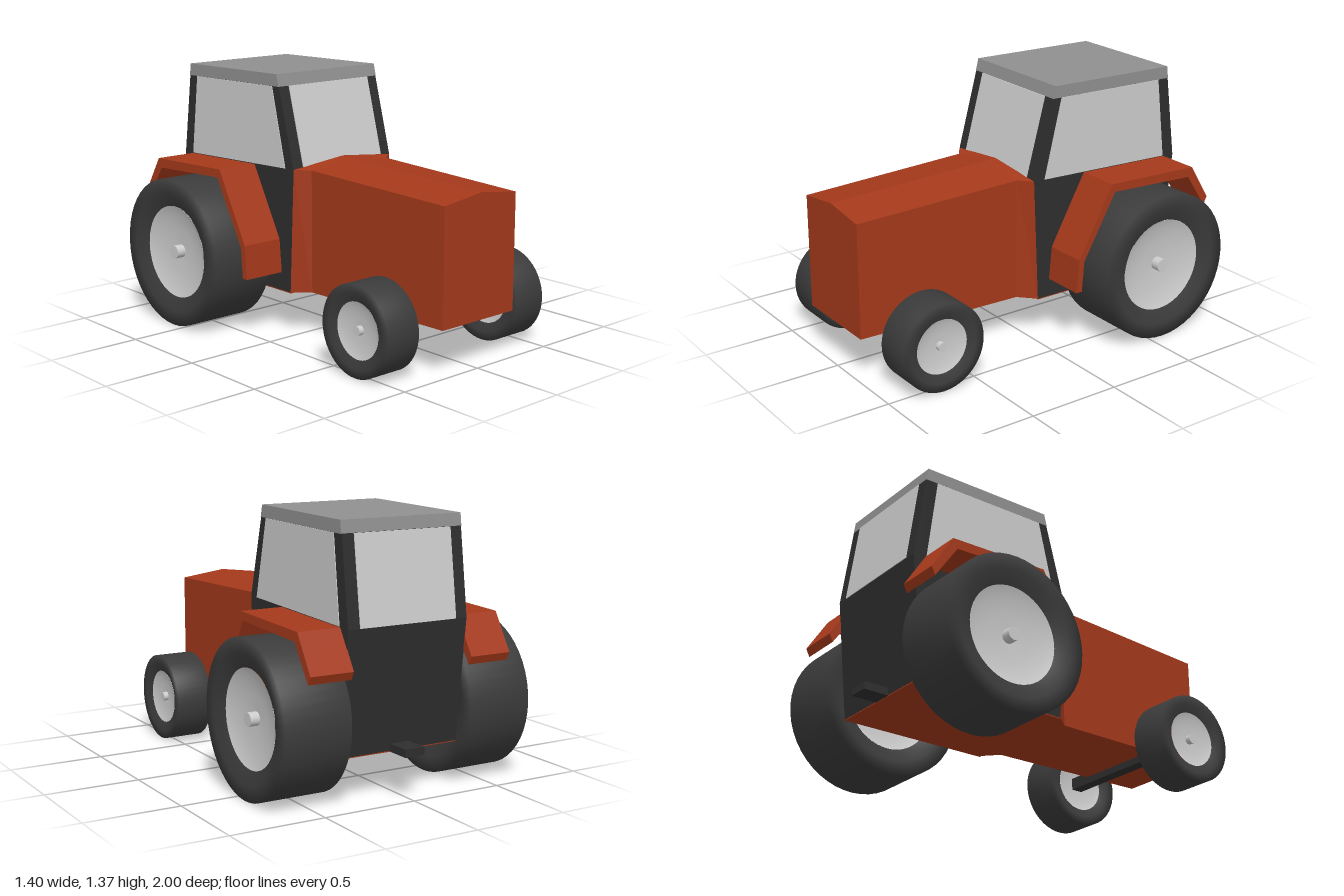
import * as THREE from 'three';

const RED = 0xa5391b, DARK = 0x2e2e2e, TYRE = 0x3b3b3b, ROOF = 0x909090, GREY = 0xcccccc;

const material = (color, flatShading = true) =>
  new THREE.MeshStandardMaterial({ color, flatShading });

function add(parent, name, geometry, color, smooth = false) {
  const mesh = new THREE.Mesh(geometry, material(color, !smooth));
  mesh.name = name;
  parent.add(mesh);
  return mesh;
}

// Side profile of [z, y] points, extruded across x from x0 to x1
function prism(points, x0, x1) {
  const shape = new THREE.Shape(points.map(([z, y]) => new THREE.Vector2(z, y)));
  const g = new THREE.ExtrudeGeometry(shape, { depth: x1 - x0, bevelEnabled: false });
  return g.rotateY(-Math.PI / 2).translate(x1, 0, 0);
}

// Skin of cross-sections (same point count, counter-clockwise seen from +z), listed front to back
function loft(sections) {
  const n = sections[0].length, index = [];
  const last = (sections.length - 1) * n;
  for (let s = 0; s < sections.length - 1; s++) {
    for (let i = 0; i < n; i++) {
      const a = s * n + i, b = s * n + (i + 1) % n;
      index.push(a, a + n, b, b, a + n, b + n);
    }
  }
  for (let i = 1; i < n - 1; i++) {
    index.push(0, i, i + 1, last, last + i + 1, last + i);
  }
  const g = new THREE.BufferGeometry();
  g.setAttribute('position', new THREE.Float32BufferAttribute(sections.flat(2), 3));
  g.setIndex(index);
  const flat = g.toNonIndexed();
  flat.computeVertexNormals();
  return flat;
}

// Pentagonal bonnet section with a raised centre ridge
const bonnetSection = (zBottom, zTop, w, bottom, corner, ridge) => [
  [-w, bottom, zBottom], [w, bottom, zBottom],
  [w, corner, zTop], [0, ridge, zTop], [-w, corner, zTop],
];

// Revolve [radius, along] points about the x axis
function revolve(points) {
  const g = new THREE.LatheGeometry(points.map(([r, a]) => new THREE.Vector2(r, a)), 48);
  return g.rotateZ(-Math.PI / 2);
}

function makeWheel(name, R, w, rimR, hubR) {
  const wheel = new THREE.Group();
  wheel.name = name;
  const mid = rimR + (R - rimR) * 0.5;
  add(wheel, 'tyre', revolve([
    [rimR, -w * 0.82], [mid, -w], [R, -w], [R, w], [mid, w], [rimR, w * 0.82],
  ]), TYRE, true);
  // Dished rim on both faces
  const dish = [[rimR, w * 0.83], [rimR * 0.8, w * 0.72], [rimR * 0.45, w * 0.64], [0, w * 0.61]];
  add(wheel, 'outerRim', revolve(dish), GREY, true);
  add(wheel, 'innerRim', revolve(dish.map(([r, a]) => [r, -a]).reverse()), GREY, true);
  const hub = new THREE.CylinderGeometry(hubR, hubR, w * 1.8, 20).rotateZ(Math.PI / 2);
  add(wheel, 'hub', hub, GREY, true).material.flatShading = false;
  return wheel;
}

export function createModel() {
  const tractor = new THREE.Group();
  tractor.name = 'tractor';

  // Bonnet, flaring out to meet the cab
  add(tractor, 'bonnet', loft([
    bonnetSection(1, 1, 0.25, 0.245, 0.853, 0.885),
    bonnetSection(0.065, 0.065, 0.265, 0.235, 0.887, 0.922),
    bonnetSection(-0.022, 0.01, 0.34, 0.23, 0.892, 0.926),
  ]), RED);

  // Cab body, roof and belly
  add(tractor, 'cabBody', prism([
    [-0.022, 0.23], [-0.865, 0.225], [-0.935, 0.858], [-0.875, 1.3], [-0.104, 1.31], [0.008, 0.896],
  ], -0.34, 0.34), DARK);
  add(tractor, 'roof', prism([
    [-0.104, 1.31], [-0.875, 1.298], [-0.866, 1.363], [-0.12, 1.374],
  ], -0.343, 0.343), ROOF);
  add(tractor, 'bellyPlate', prism([
    [-0.022, 0.23], [-0.022, 0.225], [-0.864, 0.22], [-0.864, 0.226],
  ], -0.339, 0.339), RED);

  // Windows
  add(tractor, 'windscreen', prism([
    [0.0, 0.896], [0.013, 0.896], [-0.099, 1.31], [-0.11, 1.31],
  ], -0.275, 0.275), GREY);
  add(tractor, 'rearWindow', prism([
    [-0.93, 0.858], [-0.87, 1.299], [-0.879, 1.299], [-0.939, 0.858],
  ], -0.275, 0.275), GREY);
  const sideGlass = [[-0.056, 0.89], [-0.158, 1.308], [-0.807, 1.298], [-0.86, 0.864]];

  // Drawbar and front axle
  add(tractor, 'drawbar', new THREE.BoxGeometry(0.11, 0.04, 0.16).translate(0, 0.242, -0.92), DARK);
  add(tractor, 'frontAxle', new THREE.BoxGeometry(0.84, 0.065, 0.065).translate(0, 0.237, 0.7), DARK);

  // Mudguard: bent sheet over the rear wheel
  const mudguard = [
    [-0.094, 0.327], [-0.11, 0.505], [-0.314, 0.877], [-0.866, 0.86], [-0.984, 0.67],
    [-0.963, 0.628], [-0.84, 0.81], [-0.335, 0.832], [-0.142, 0.49], [-0.13, 0.327],
  ];

  // Paired parts
  for (const [side, s] of [['left', 1], ['right', -1]]) {
    const span = (a, b) => (s > 0 ? [a, b] : [-b, -a]);
    add(tractor, side + 'Window', prism(sideGlass, ...span(0.335, 0.344)), GREY);
    add(tractor, side + 'Mudguard', prism(mudguard, ...span(0.338, 0.572)), RED);

    const rear = makeWheel(side + 'RearWheel', 0.4, 0.178, 0.25, 0.035);
    rear.position.set(s * 0.523, 0.4, -0.583);
    const front = makeWheel(side + 'FrontWheel', 0.235, 0.099, 0.145, 0.024);
    front.position.set(s * 0.449, 0.235, 0.706);
    tractor.add(rear, front);
  }
  return tractor;
}
